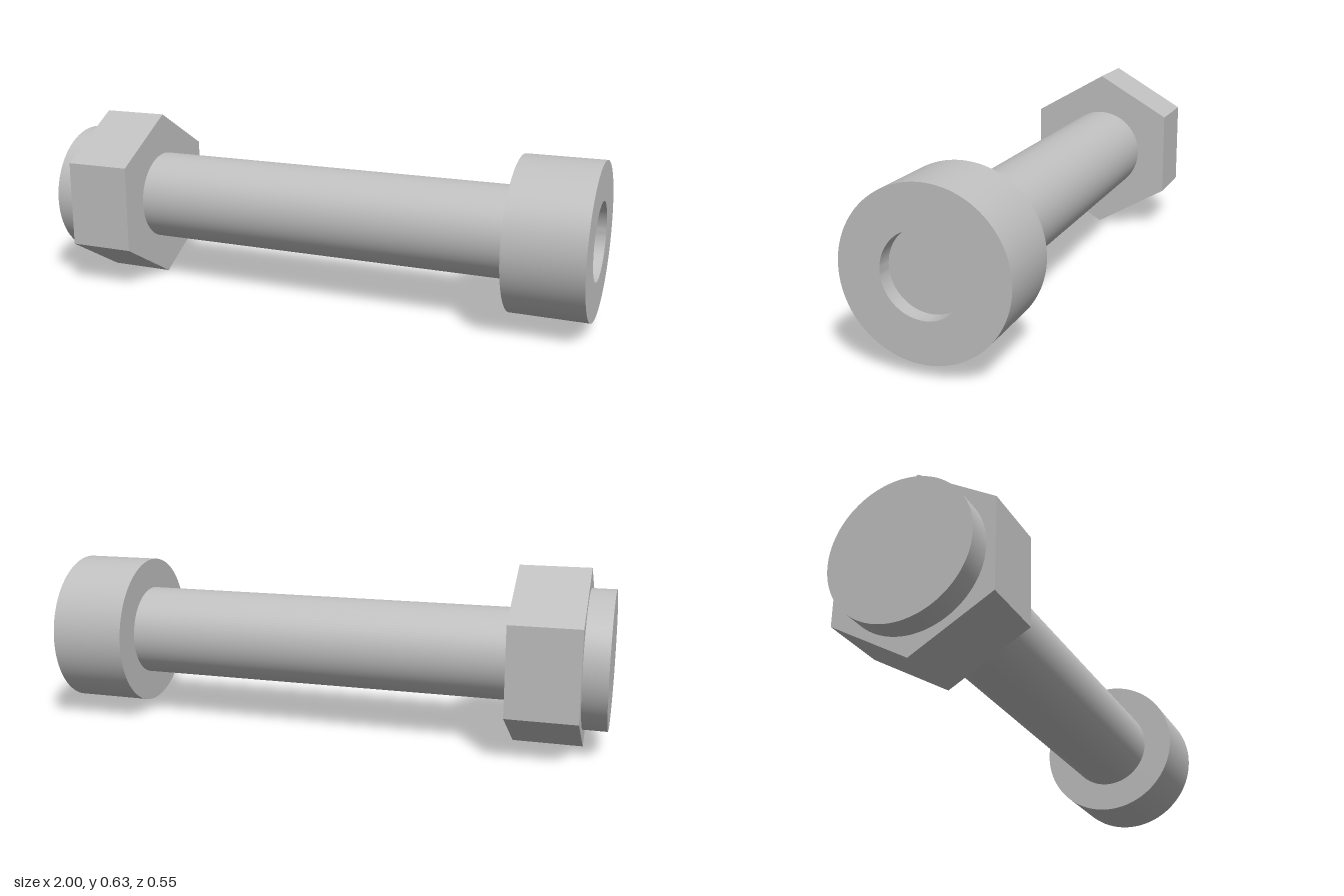
import * as THREE from 'three';
import { toCreasedNormals } from 'three/addons/utils/BufferGeometryUtils.js';

const AXIS_Y = 0.315; // height of the bolt's axis

export function createModel() {
  const model = new THREE.Group();
  model.name = 'boltAndNut';
  const steel = new THREE.MeshStandardMaterial({ color: 0xc0c0c0 });
  steel.name = 'steel grey';

  // Lays a geometry built along y onto the bolt's axis, so +y becomes +x
  function add(name, geometry) {
    geometry.rotateZ(-Math.PI / 2);
    const mesh = new THREE.Mesh(toCreasedNormals(geometry, Math.PI / 6), steel);
    mesh.name = name;
    mesh.position.y = AXIS_Y;
    model.add(mesh);
  }

  // Solid rod or prism between two x positions
  function rod(name, radius, x0, x1, sides = 96) {
    const geometry = new THREE.CylinderGeometry(radius, radius, x1 - x0, sides, 1, false, Math.PI / 6);
    geometry.translate(0, (x0 + x1) / 2, 0);
    add(name, geometry);
  }

  rod('threadedEnd', 0.243, -1, -0.916);
  rod('hexNut', 0.315, -0.916, -0.672, 6);
  rod('shank', 0.163, -0.672, 0.727);

  // Round head with a shallow socket in its end face
  const profile = [[0, 0.727], [0.273, 0.727], [0.273, 1], [0.137, 1], [0.137, 0.945], [0, 0.945]];
  add('socketHead', new THREE.LatheGeometry(profile.map(([r, x]) => new THREE.Vector2(r, x)), 96));

  return model;
}
